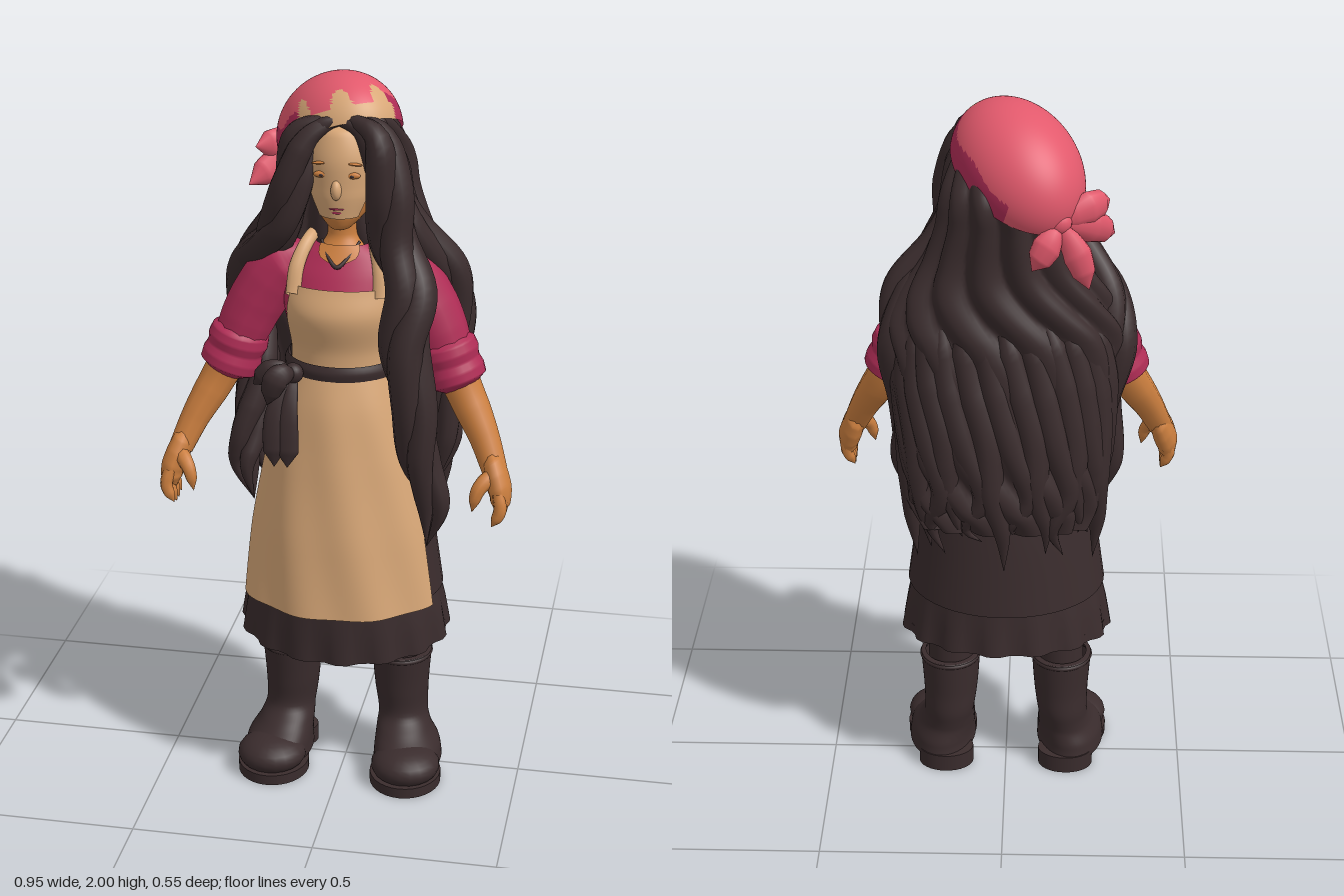
import * as THREE from 'three';
import { mergeVertices } from 'three/addons/utils/BufferGeometryUtils.js';

const mat = (name, color) => new THREE.MeshStandardMaterial({ name, color, side: THREE.DoubleSide });

// Welds seams and gives smooth normals.
function smooth(geo) {
  geo.deleteAttribute('uv');
  if (geo.attributes.normal) geo.deleteAttribute('normal');
  const g = mergeVertices(geo, 1e-5);
  g.computeVertexNormals();
  return g;
}

// Lofts ellipses [y, cx, cz, rx, rz] from top to bottom; angle 0 faces the front.
function loft(rows, { seg = 48, n = 24, span = () => Math.PI, mod = () => [0, 0] } = {}) {
  const centres = new THREE.CatmullRomCurve3(rows.map(r => new THREE.Vector3(r[0], r[1], r[2])));
  const radii = new THREE.CatmullRomCurve3(rows.map(r => new THREE.Vector3(r[3], r[4], 0)));
  const pos = [], idx = [];
  for (let i = 0; i <= n; i++) {
    const t = i / n, c = centres.getPoint(t), r = radii.getPoint(t), half = span(t);
    for (let j = 0; j <= seg; j++) {
      const a = -half + 2 * half * j / seg;
      const [dr, dy] = mod(a, t, c.x);
      pos.push(c.y + (r.x + dr) * Math.sin(a), c.x + dy, c.z + (r.y + dr) * Math.cos(a));
      if (i < n && j < seg) {
        const p = i * (seg + 1) + j, q = p + seg + 1;
        idx.push(p, q, q + 1, p, q + 1, p + 1);
      }
    }
  }
  const g = new THREE.BufferGeometry();
  g.setAttribute('position', new THREE.Float32BufferAttribute(pos, 3));
  g.setIndex(idx);
  return smooth(g);
}

// Tube along points with changing radius; flat squashes the section per axis.
function sweep(pts, radii, flat = [1, 1, 1], n = 36, m = 10) {
  const curve = new THREE.CatmullRomCurve3(pts.map(p => new THREE.Vector3(...p)));
  const g = new THREE.TubeGeometry(curve, n, 1, m), p = g.attributes.position;
  const f = new THREE.Vector3(...flat), v = new THREE.Vector3();
  for (let i = 0; i <= n; i++) {
    const c = curve.getPointAt(i / n), u = i / n * (radii.length - 1), k = Math.min(Math.floor(u), radii.length - 2);
    const r = THREE.MathUtils.lerp(radii[k], radii[k + 1], u - k);
    for (let j = 0; j <= m; j++) {
      const q = i * (m + 1) + j;
      v.fromBufferAttribute(p, q).sub(c).multiplyScalar(r).multiply(f).add(c);
      p.setXYZ(q, v.x, v.y, v.z);
    }
  }
  return smooth(g);
}

export function createModel() {
  const root = new THREE.Group();
  const dark = mat('dark brown', 0x3a2c2d), berry = mat('berry', 0xb02d56), pink = mat('pink', 0xe2596c);
  const tan = mat('tan', 0xd9a878), skin = mat('skin', 0xcc7f3f);
  const add = (name, geo, m) => {
    const mesh = new THREE.Mesh(geo, m);
    mesh.name = name;
    root.add(mesh);
    return mesh;
  };
  const ball = (name, m, p, s) => {
    const b = add(name, new THREE.SphereGeometry(1, 20, 14), m);
    b.position.set(...p);
    b.scale.set(...s);
    return b;
  };

  // Head, face and neck
  const headRows = [[1.91, 0, .02, .02, .02], [1.88, 0, .025, .07, .085], [1.8, 0, .03, .095, .105], [1.72, 0, .035, .088, .1],
    [1.66, 0, .05, .062, .078], [1.625, 0, .07, .028, .04], [1.612, 0, .07, .002, .002]];
  add('head', loft(headRows), skin);
  add('face', loft(headRows.slice(0, 5), { span: t => 1.2 - .3 * t, mod: () => [.003, 0] }), tan);
  add('neck', loft([[1.7, 0, .03, .045, .045], [1.6, 0, .03, .042, .042], [1.55, 0, .045, .065, .06], [1.48, 0, .05, .07, .075]]), skin);
  ball('nose', tan, [0, 1.738, .138], [.014, .026, .018]);
  ball('upperLip', berry, [0, 1.687, .128], [.022, .004, .009]);
  ball('lowerLip', berry, [0, 1.677, .126], [.017, .005, .009]);
  for (const s of [-1, 1]) {
    ball('eyelid', skin, [s * .04, 1.776, .126], [.021, .009, .008]);
    ball('eye', dark, [s * .04, 1.775, .13], [.008, .005, .005]);
    const brow = ball('brow', skin, [s * .042, 1.806, .125], [.024, .004, .008]);
    brow.rotation.z = -s * .1;
  }

  // Blouse
  const torsoRows = [[1.575, 0, .03, .075, .06], [1.555, 0, .03, .11, .072], [1.5, 0, .04, .155, .095], [1.4, 0, .05, .155, .125],
    [1.3, 0, .04, .135, .115], [1.22, 0, .04, .13, .115]];
  add('blouse', loft(torsoRows), berry);
  add('neckline', loft([[1.58, 0, .035, .07, .06], [1.55, 0, .035, .115, .08], [1.535, 0, .038, .13, .088]],
    { n: 6, seg: 16, span: t => .7 * (1 - t) + .05, mod: () => [.005, 0] }), skin);
  add('neckCord', sweep([[-.05, 1.585, .075], [-.025, 1.55, .115], [0, 1.53, .132], [.025, 1.55, .115], [.05, 1.585, .075]], [.004, .004, .006, .004, .004]), dark);

  // Skirt, underskirt and pleated ruffle
  const skirtRows = [[1.26, 0, .04, .135, .12], [1.15, 0, .04, .165, .155], [1, 0, .03, .205, .19], [.8, 0, .025, .245, .22], [.59, 0, .02, .275, .24]];
  const slant = a => -.022 * Math.cos(a);
  add('skirt', loft(skirtRows), dark);
  add('ruffle', loft([[.63, 0, .015, .255, .22], [.53, 0, .01, .278, .226], [.445, 0, .005, .29, .23]],
    { seg: 120, n: 8, mod: (a, t) => [.006 * t * Math.tanh(3 * Math.sin(15 * a)), slant(a)] }), dark);
  add('underskirt', loft([[.47, 0, .005, .282, .222], [.48, 0, .005, .01, .01]], { n: 2, mod: (a, t) => [0, slant(a) * (1 - t)] }), dark);

  // Apron with bib, straps and tied belt
  add('apronSkirt', loft(skirtRows, { span: t => 1.25 - .1 * t, mod: (a, t, y) => [.01 + .005 * t * Math.sin(9 * a + 7 * y), -.015 * t] }), tan);
  add('apronBib', loft([[1.475, 0, .045, .157, .105], [1.4, 0, .05, .155, .125], [1.3, 0, .04, .135, .115], [1.23, 0, .04, .13, .115]],
    { span: t => .82 + .4 * t, mod: () => [.009, 0] }), tan);
  for (const s of [-1, 1])
    add('apronStrap', sweep([[s * .115, 1.45, .135], [s * .11, 1.52, .11], [s * .09, 1.575, .065], [s * .075, 1.58, 0], [s * .06, 1.5, -.05]],
      [.02, .02, .018, .018, .015], [1, 1, .5]), tan);
  add('belt', loft([[1.27, 0, .04, .139, .127], [1.25, 0, .04, .148, .135], [1.23, 0, .04, .145, .132]], { n: 6, mod: () => [.008, 0] }), dark);
  ball('beltKnot', dark, [-.11, 1.245, .17], [.028, .028, .026]);
  for (const [x, y, z] of [[-.215, 1.21, .18], [-.17, 1.17, .22]])
    add('bowLoop', sweep([[-.11, 1.245, .17], [(x - .11) / 2, 1.25, z], [x, y, z]], [.01, .03, .034, .026, 0], [1, 1, .7]), dark);
  for (const x of [-.15, -.115])
    add('bowTail', sweep([[-.11, 1.24, .17], [x, 1.15, .21], [x, 1.0, .232]], [.012, .02, .024, .028, .03, .03, 0], [1, 1, .4]), dark);

  for (const s of [-1, 1]) {
    // Sleeves with rolled cuffs
    add('sleeve', sweep([[s * .09, 1.535, .03], [s * .16, 1.5, .03], [s * .23, 1.4, .035], [s * .285, 1.28, .05]], [.03, .075, .08, .08, .076, .068]), berry);
    add('cuff', sweep([[s * .268, 1.335, .045], [s * .292, 1.26, .05], [s * .318, 1.19, .058]], [.05, .078, .082, .076, .082, .08, .04], [1, 1, 1.03], 36, 24), berry);
    // Forearm and hand
    add('forearm', sweep([[s * .28, 1.29, .05], [s * .335, 1.18, .07], [s * .39, 1.08, .11], [s * .425, 1.0, .145]], [.048, .052, .048, .04, .034]), skin);
    add('palm', sweep([[s * .408, 1.05, .125], [s * .43, .99, .15], [s * .445, .94, .168], [s * .44, .885, .182]], [.02, .044, .05, .05, .043, 0], [.62, 1, 1.15]), skin);
    for (let i = 0; i < 4; i++) {
      const z = .13 + i * .026;
      add('finger', sweep([[s * .442, .96, z], [s * .45, .915, z + .008], [s * .428, .856 + Math.abs(i - 1.5) * .008, z + .012]], [.014, .017, .017, .015, 0], [1, 1, 1], 14, 8), skin);
    }
    add('thumb', sweep([[s * .425, 1.0, .17], [s * .39, .965, .205], [s * .375, .905, .215]], [.02, .022, .019, .015, 0], [1, 1, 1], 14, 8), skin);

    // Legs and boots
    add('leg', loft([[.6, s * .15, -.015, .07, .07], [.3, s * .155, -.02, .065, .07]], { n: 4 }), dark);
    add('boot', loft([[.362, s * .158, -.02, .07, .075], [.36, s * .158, -.02, .084, .09], [.25, s * .158, -.024, .076, .083], [.17, s * .163, -.025, .07, .082],
      [.125, s * .17, .005, .077, .105], [.08, s * .184, .037, .092, .148], [.04, s * .186, .04, .096, .155], [.03, s * .186, .045, .02, .03]], { n: 40 }), dark);
    ball('toeCap', dark, [s * .192, .062, .118], [.097, .053, .095]);
    const lip = add('bootLip', new THREE.TorusGeometry(.08, .007, 8, 40), dark);
    lip.position.set(s * .158, .352, -.02);
    lip.scale.set(1, 1.08, 1);
    lip.rotation.x = Math.PI / 2;
    for (const [name, x, z, rx, rz, h] of [['sole', .19, .105, .1, .11, .03], ['heel', .172, -.06, .078, .06, .05]]) {
      const sole = add(name, new THREE.CylinderGeometry(1, 1, h, 32), dark);
      sole.position.set(s * x, h / 2 + .005, z);
      sole.scale.set(rx, 1, rz);
    }
  }

  // Hair mass with diagonal wavy ridges
  const hairRows = [[1.955, -.01, -.03, .01, .01], [1.9, -.01, -.03, .11, .115], [1.8, 0, -.08, .14, .135], [1.7, 0, -.085, .155, .12], [1.6, 0, -.085, .19, .11],
    [1.5, 0, -.09, .25, .11], [1.4, 0, -.095, .285, .11], [1.2, 0, -.115, .265, .11], [1.05, 0, -.135, .26, .11], [.93, 0, -.15, .24, .09], [.86, 0, -.19, .2, .03]];
  const ridge = (a, t, y) => [.026 * Math.min(1, 4 * t) * Math.abs(Math.sin(6 * (a + 1.9 * y) + .8 * Math.sin(13 * y))), 0];
  add('hair', loft(hairRows, { seg: 144, n: 64, mod: ridge }), dark);

  // Back strands sweeping round and ending in ragged tips
  for (let i = 0; i < 14; i++) {
    const a0 = 1.15 + i * .24, end = .74 + .05 * (i * 2 % 3) + (i % 2) * .04, wave = .08 * (i % 2 ? 1 : -1);
    const at = (a, y, rx, cz, rz) => [rx * Math.sin(a), y, cz + rz * Math.cos(a)];
    add('hairStrand', sweep([at(a0, 1.5, .235, -.09, .095), at(a0 + .2, 1.3, .26, -.1, .105), at(a0 + .38, 1.13, .255, -.12, .11),
      at(a0 + .5 + wave, .98, .25, -.135, .105), at(a0 + .45 - wave, .87, .25, -.13, .105), at(a0 + .55, end, .24, -.125, .1)], [0, .036, .044, .042, .038, .024, 0]), dark);
  }

  // Locks made of three strands wound around a path
  const lock = (name, path, radii, wind = .024) => {
    for (let k = 0; k < 3; k++) {
      const pts = path.map(([x, y, z], i) => {
        const a = k * 2.094 + i * 1.1, w = i && i < path.length - 1 ? wind : 0;
        return [x + w * Math.cos(a), y, z + w * Math.sin(a)];
      });
      add(name, sweep(pts, radii, [1, 1, 1], 60), dark);
    }
  };
  lock('leftFrontLock', [[.02, 1.915, .085], [.09, 1.88, .105], [.13, 1.74, .11], [.145, 1.6, .105], [.195, 1.48, .14], [.185, 1.34, .17], [.215, 1.17, .18],
    [.23, 1.02, .175], [.265, .89, .16], [.25, .77, .165]], [.015, .038, .042, .044, .048, .046, .04, .036, .026, 0]);
  lock('rightFrontLock', [[-.01, 1.91, .085], [-.085, 1.87, .09], [-.125, 1.74, .1], [-.155, 1.63, .08], [-.2, 1.55, .04], [-.265, 1.46, -.04], [-.28, 1.32, -.08]],
    [.015, .034, .036, .038, .036, .03, 0]);
  lock('rightLowerLock', [[-.22, 1.35, -.05], [-.235, 1.18, 0], [-.26, 1.02, .05], [-.265, .93, .07], [-.24, .83, .08]], [.02, .034, .036, .026, 0]);
  for (const s of [-1, 1]) {
    lock('sideCurl', [[s * .12, 1.78, .01], [s * .165, 1.63, .01], [s * .262, 1.49, -.04], [s * .28, 1.36, -.08], [s * .255, 1.18, -.06], [s * .265, 1, -.05], [s * .23, .84, -.04]],
      [.02, .035, .038, .042, .038, .028, 0]);
    add('templeLock', sweep([[s * .085, 1.9, .03], [s * .12, 1.8, .055], [s * .138, 1.68, .05], [s * .18, 1.55, .01], [s * .23, 1.42, -.06]], [.02, .042, .046, .046, .042, 0]), dark);
    add('hairline', sweep([[0, 1.91, .09], [s * .045, 1.895, .1], [s * .085, 1.85, .1], [s * .108, 1.76, .095]], [.015, .022, .026, .02]), dark);
  }

  // Headscarf dome, with tan drips in front and berry patches along the edge
  const dome = new THREE.SphereGeometry(1, 96, 36, 0, Math.PI * 2, 0, Math.PI * .53);
  const p = dome.attributes.position, ix = dome.index.array, lists = [[], [], []];
  for (let i = 0; i < ix.length; i += 3) {
    const tri = [ix[i], ix[i + 1], ix[i + 2]];
    const mean = f => tri.reduce((sum, q) => sum + f(q) / 3, 0);
    const az = Math.atan2(mean(q => p.getX(q)), mean(q => p.getZ(q))), e = mean(q => p.getY(q));
    const drip = Math.abs(az + .3) < .85 && (e < .1 || e < .18 + .32 * Math.sqrt(Math.max(0, Math.sin(9 * az + 5.2))));
    const patch = (az > .3 && az < 2.3 && e < .32 + .07 * Math.sin(5 * az)) || (az > -2.1 && az < -1.1 && e < .26 + .08 * Math.sin(9 * az));
    lists[drip ? 1 : patch ? 2 : 0].push(...tri);
  }
  dome.setIndex(lists.flat());
  let start = 0;
  lists.forEach((l, k) => { dome.addGroup(start, l.length, k); start += l.length; });
  const scarf = add('headscarf', dome, [pink, tan, berry]);
  scarf.position.set(-.03, 1.83, -.07);
  scarf.rotation.set(-.48, .6, 0, 'YXZ');
  scarf.scale.set(.158, .16, .212);

  // Scarf knot and tails
  ball('scarfKnot', pink, [-.135, 1.745, -.21], [.034, .032, .028]);
  for (const tip of [[-.28, 1.67, -.09], [-.215, 1.575, -.235], [-.07, 1.63, -.25], [-.265, 1.77, -.11]])
    add('scarfTail', sweep([[-.135, 1.745, -.21], [(tip[0] - .15) / 2, (tip[1] + 1.765) / 2, (tip[2] - .23) / 2], tip], [.01, .034, .046, .038, 0], [.8, 1, .5]), pink);

  return root;
}
